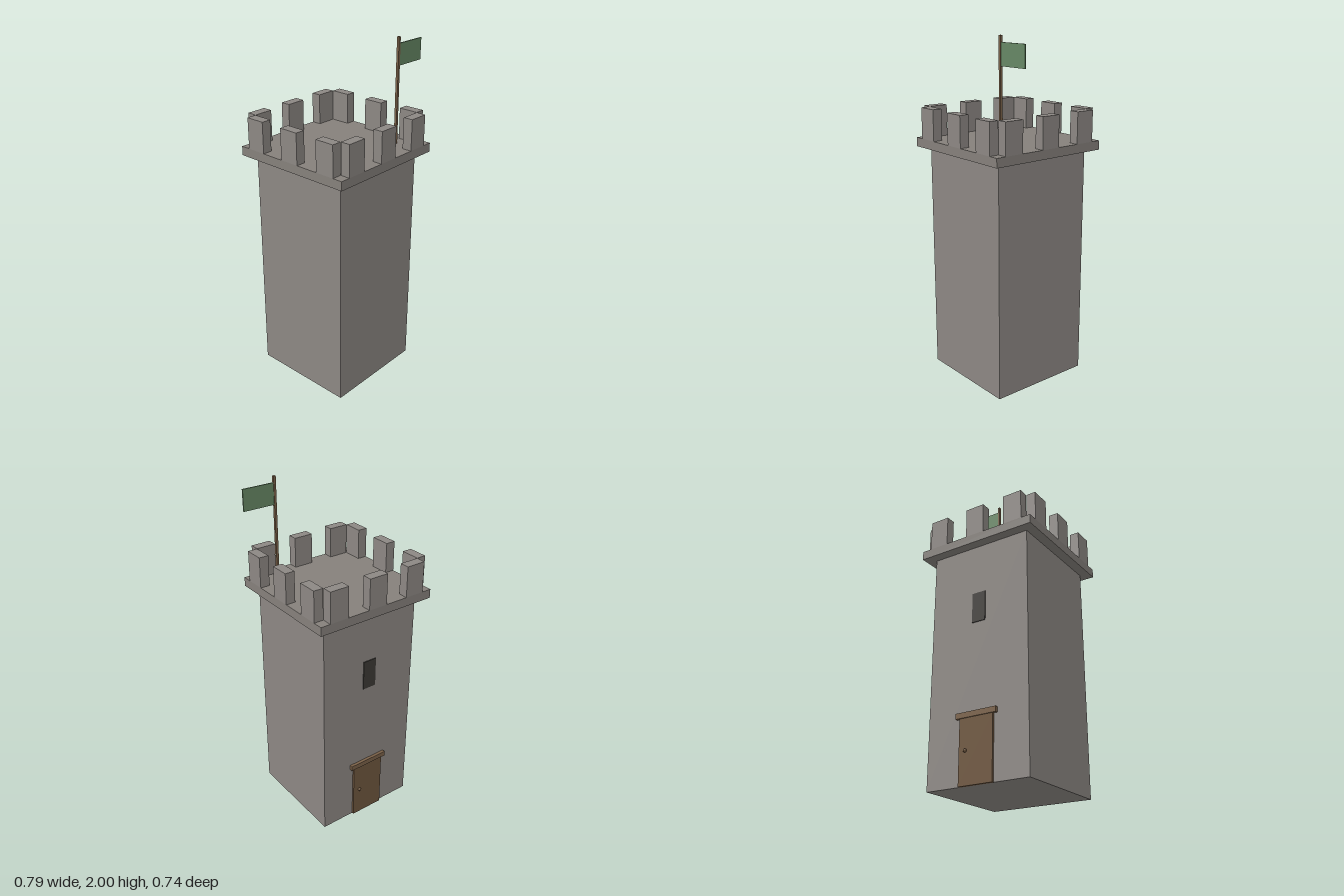
import * as THREE from 'three';

const CX = -0.03; // tower axis, shifted by the overhanging flag

export function createModel() {
  const model = new THREE.Group();
  const mat = (color) => new THREE.MeshStandardMaterial({ color });
  const stone = mat(0x8c8783), deck = mat(0x85807b), wood = mat(0x6e563e);
  const lintelWood = mat(0x7a6148), dark = mat(0x3c3935), cloth = mat(0x668764);

  // Box given by its extents on each axis
  function box(name, material, [x0, x1], [y0, y1], [z0, z1], parent = model) {
    const mesh = new THREE.Mesh(new THREE.BoxGeometry(x1 - x0, y1 - y0, z1 - z0), material);
    mesh.position.set((x0 + x1) / 2, (y0 + y1) / 2, (z0 + z1) / 2);
    mesh.name = name;
    parent.add(mesh);
    return mesh;
  }
  const around = (c, half) => [c - half, c + half];

  // Tower body and overhanging platform
  box('towerBody', stone, around(CX, 0.31), [0, 1.355], [-0.31, 0.31]);
  box('platform', deck, around(CX, 0.368), [1.355, 1.407], [-0.368, 0.368]);

  // Three merlons on each of the four sides, corners left open
  const battlements = new THREE.Group();
  battlements.name = 'battlements';
  battlements.position.x = CX;
  model.add(battlements);
  for (let side = 0; side < 4; side++) {
    const row = new THREE.Group();
    row.name = 'merlonRow';
    row.rotation.y = (side * Math.PI) / 2;
    battlements.add(row);
    for (const x of [-0.252, 0, 0.252]) {
      box('merlon', stone, around(x, 0.058), [1.407, 1.585], [0.311, 0.368], row);
    }
  }

  // Flagpole and flag
  box('flagpole', lintelWood, around(0.202, 0.007), [1.407, 2], around(0.231, 0.007));
  box('flag', cloth, [0.209, 0.395], [1.845, 1.965], around(0.231, 0.004));

  // Window slit, door, lintel and knob on the back wall
  box('window', dark, around(CX, 0.042), [0.885, 1.06], [-0.315, -0.305]);
  box('door', wood, around(CX, 0.103), [0, 0.35], [-0.322, -0.305]);
  box('lintel', lintelWood, around(CX, 0.124), [0.35, 0.38], [-0.328, -0.305]);
  const knob = new THREE.Mesh(new THREE.SphereGeometry(0.01, 12, 8), wood);
  knob.name = 'doorKnob';
  knob.position.set(0.032, 0.178, -0.326);
  model.add(knob);

  return model;
}
